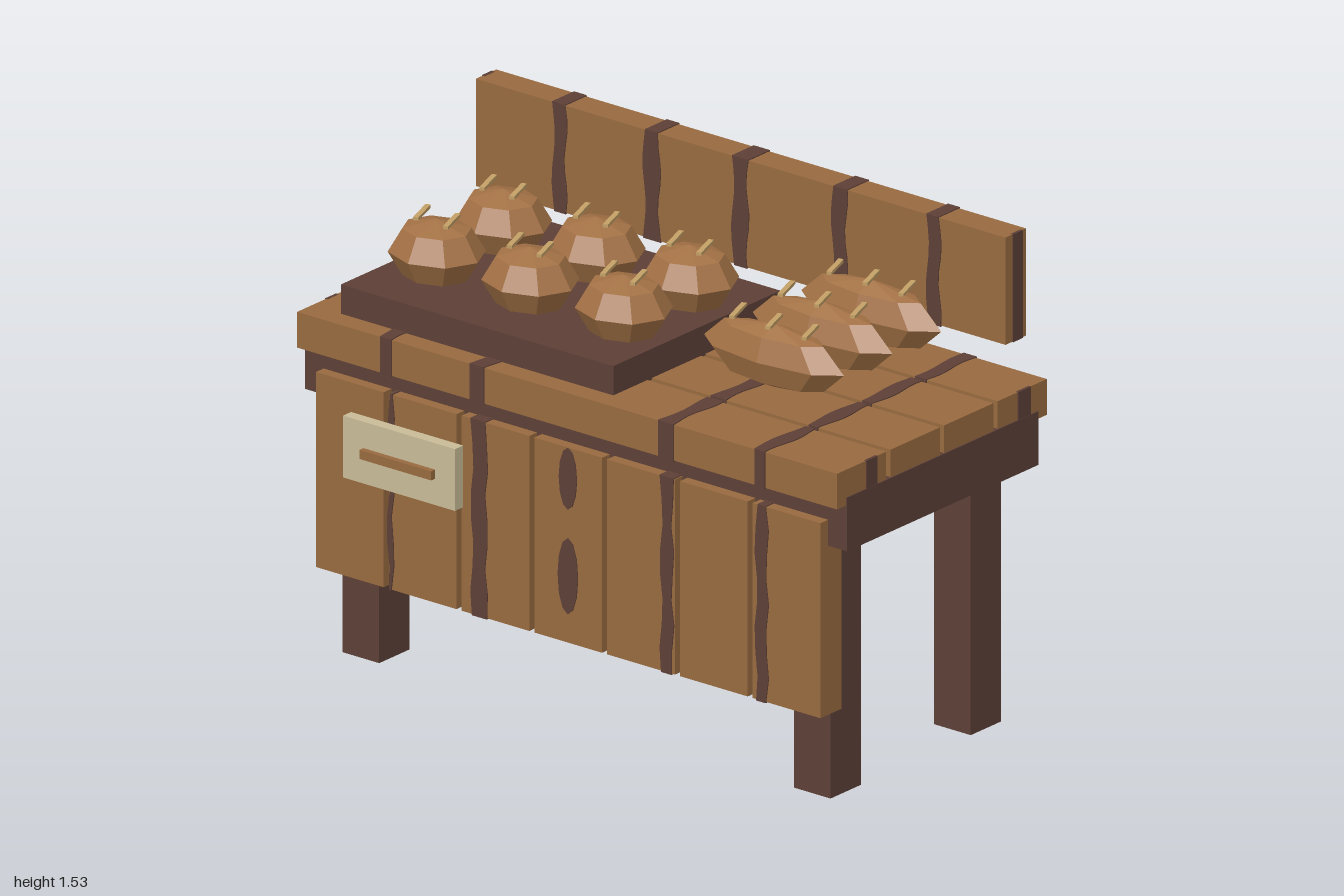
import * as THREE from 'three';

const mat = (name, color) => {
  const m = new THREE.MeshStandardMaterial({ color });
  m.name = name;
  return m;
};

export function createModel() {
  const wood = mat('plankWood', 0x986a3f);
  const dark = mat('darkWood', 0x5d4037);
  const crust = mat('breadCrust', 0xa37145);
  const score = mat('scoreMark', 0xc4a066);
  const label = mat('labelBoard', 0xc8bb98);

  const model = new THREE.Group();
  model.name = 'breadStall';

  const add = (parent, name, geo, material) => {
    const mesh = new THREE.Mesh(geo, material);
    mesh.name = name;
    parent.add(mesh);
    return mesh;
  };
  // Box given by its extents on each axis
  const box = (parent, name, material, [x0, x1], [y0, y1], [z0, z1]) => {
    const mesh = add(parent, name, new THREE.BoxGeometry(x1 - x0, y1 - y0, z1 - z0), material);
    mesh.position.set((x0 + x1) / 2, (y0 + y1) / 2, (z0 + z1) / 2);
    return mesh;
  };
  const group = (name) => {
    const g = new THREE.Group();
    g.name = name;
    model.add(g);
    return g;
  };

  // Dark grain band wrapping a plank: wavy outline in (x, v), extruded through the plank
  const E = 0.003;
  const grain = (parent, [x0, x1], [v0, v1], [d0, d1], flat = false) => {
    const left = [], right = [], n = 8;
    for (let i = 0; i <= n; i++) {
      const v = v0 - E + (v1 - v0 + 2 * E) * i / n;
      left.push(new THREE.Vector2(x0 + 0.006 * Math.sin(v * 23 + x0 * 9), v));
      right.push(new THREE.Vector2(x1 + 0.006 * Math.sin(v * 29 + x1 * 5), v));
    }
    const geo = new THREE.ExtrudeGeometry(new THREE.Shape([...left, ...right.reverse()]),
      { depth: d1 - d0 + 2 * E, bevelEnabled: false });
    geo.translate(0, 0, d0 - E);
    if (flat) geo.rotateX(-Math.PI / 2); // v -> -z, depth -> y
    add(parent, 'grainBand', geo, dark);
  };
  // Oval knot showing on both faces of a plank
  const knot = (parent, x, y, rx, ry, [z0, z1]) => {
    const geo = new THREE.CylinderGeometry(1, 1, z1 - z0 + 2 * E, 12);
    geo.rotateX(Math.PI / 2);
    geo.scale(rx, ry, 1);
    add(parent, 'knot', geo, dark).position.set(x, y, (z0 + z1) / 2);
  };

  // Legs and frame
  const base = group('base');
  for (const s of [-1, 1]) {
    const x = s < 0 ? [-0.9, -0.765] : [0.765, 0.9];
    box(base, 'frontLeg', dark, x, [0, 0.82], [0.2, 0.337]);
    box(base, 'backLeg', dark, x, [0, 0.82], [-0.436, -0.298]);
  }
  box(base, 'frame', dark, [-1, 1], [0.8, 0.965], [-0.483, 0.385]);

  // Table top planks
  const top = group('tableTop');
  const bands = [[-0.69, -0.645], [-0.355, -0.3], [0.34, 0.39], [0.69, 0.735]];
  const topY = [0.94, 1.05];
  for (let i = 0; i < 4; i++) {
    const z1 = 0.425 - i * 0.2425, z0 = z1 - 0.2225;
    box(top, 'topPlank', wood, [-0.996, 0.996], topY, [z0, z1]);
    for (const b of bands) grain(top, b, [-z1, -z0], topY, true);
  }
  grain(top, [-0.03, 0.03], [0.43, 0.525], topY, true);
  for (const s of [-1, 1]) {
    for (const z of [[0.245, 0.295], [-0.45, -0.393]]) {
      box(top, 'endGrain', dark, s < 0 ? [-0.999, -0.99] : [0.99, 0.999], [0.939, 1.051], z);
    }
  }

  // Front cladding planks
  const front = group('frontPanel');
  const panelY = [0.28, 0.88], panelZ = [0.325, 0.42];
  for (let i = 0; i < 7; i++) {
    const x = (i - 3) * 0.2685;
    box(front, 'frontPlank', wood, [x - 0.125, x + 0.125], panelY, panelZ);
  }
  for (const b of [[-0.662, -0.645], [-0.353, -0.3], [0.345, 0.386], [0.695, 0.735]]) {
    grain(front, b, panelY, panelZ);
  }
  knot(front, 0, 0.485, 0.037, 0.117, panelZ);
  knot(front, 0, 0.785, 0.033, 0.095, panelZ);

  // Back board
  const back = group('backBoard');
  const backY = [1.2, 1.53], backZ = [-0.455, -0.362];
  box(back, 'backPlank', wood, [-0.978, 0.976], backY, backZ);
  for (const b of [...bands, [-0.028, 0.026]]) grain(back, b, backY, backZ);
  for (const x of [[-0.981, -0.97], [0.97, 0.979]]) {
    box(back, 'endGrain', dark, x, [1.199, 1.531], [-0.438, -0.393]);
  }

  // Serving board
  box(model, 'servingBoard', dark, [-0.89, 0.115], [1.045, 1.14], [-0.4, 0.357]);

  // Faceted loaves with slanted score marks
  const loafGeo = new THREE.SphereGeometry(1, 8, 4).toNonIndexed();
  loafGeo.computeVertexNormals();
  const markGeo = new THREE.BoxGeometry(0.016, 0.01, 0.108);
  const bread = group('bread');
  const loaf = (name, x, y, z, size, marks) => {
    const g = new THREE.Group();
    g.name = name;
    g.position.set(x, y, z);
    const geo = loafGeo.clone().scale(...size);
    geo.computeVertexNormals();
    add(g, 'crust', geo, crust);
    for (const mx of marks) {
      const m = add(g, 'scoreMark', markGeo, score);
      m.position.set(mx, size[1] + 0.005, 0);
      m.rotation.y = 0.35;
    }
    bread.add(g);
  };
  for (const x of [-0.69, -0.345, 0]) {
    for (const z of [0.168, -0.132]) {
      loaf('roundLoaf', x, 1.235, z, [0.15, 0.1, 0.131], [-0.055, 0.055]);
    }
  }
  for (const z of [0.13, -0.09, -0.31]) {
    loaf('longLoaf', 0.523, 1.207, z, [0.258, 0.098, 0.08], [-0.133, 0, 0.133]);
  }

  // Hanging label with a single bar
  const sign = group('label');
  box(sign, 'labelBoard', label, [-0.76, -0.347], [0.625, 0.815], [0.47, 0.507]);
  box(sign, 'labelBar', wood, [-0.685, -0.42], [0.706, 0.734], [0.505, 0.525]);

  return model;
}
